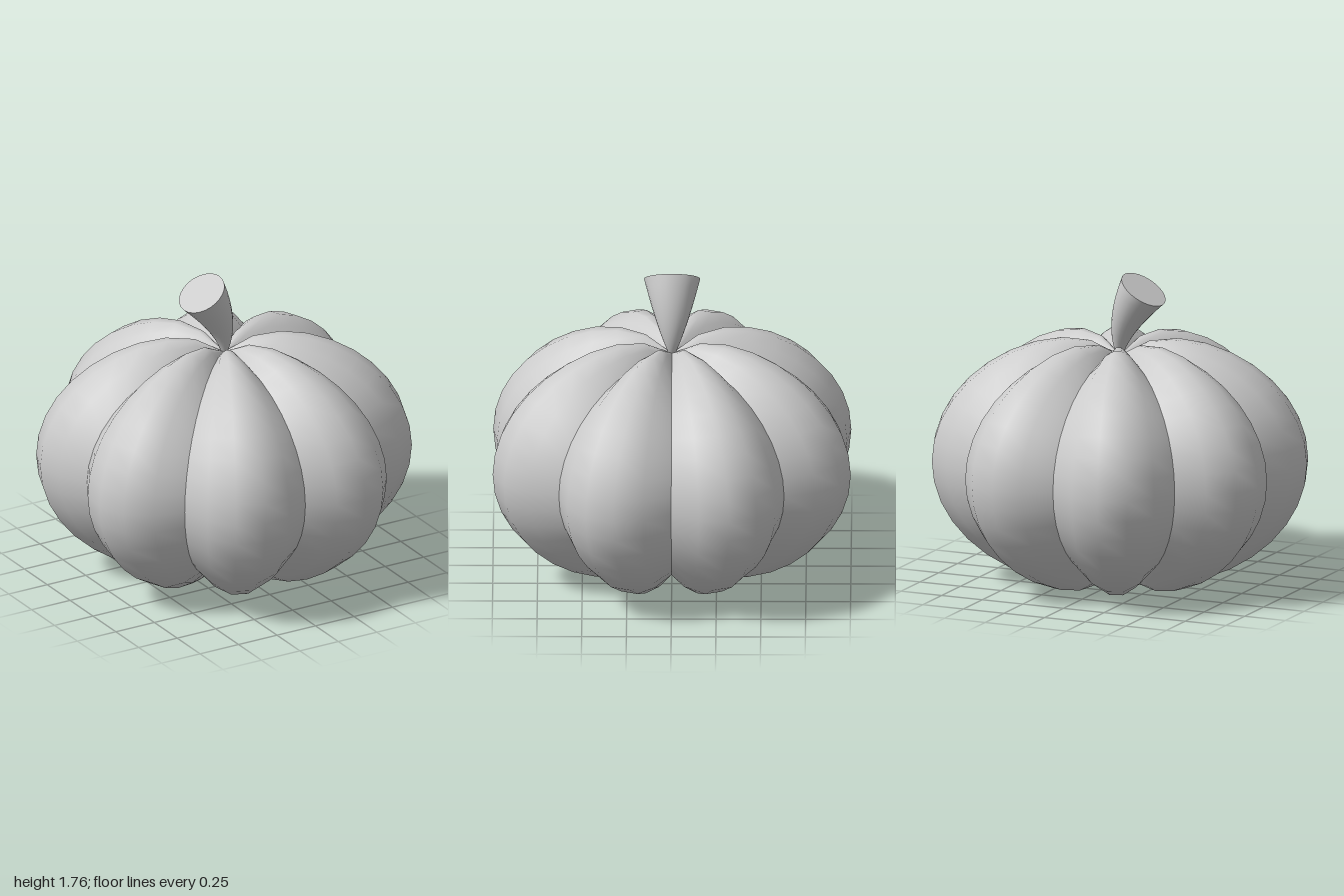
import * as THREE from 'three';
import { mergeVertices } from 'three/addons/utils/BufferGeometryUtils.js';

const LOBES = 8;
const material = new THREE.MeshStandardMaterial({ color: 0xcccccc });

// Move every vertex of a geometry by a rule, then refresh its normals
function reshape(geometry, rule) {
  const pos = geometry.attributes.position;
  const v = new THREE.Vector3();
  for (let i = 0; i < pos.count; i++) {
    v.fromBufferAttribute(pos, i);
    rule(v);
    pos.setXYZ(i, v.x, v.y, v.z);
  }
  geometry.computeVertexNormals();
  return geometry;
}

// One rib: a slice of a sphere that bulges between two grooves and dips at the poles
function lobeGeometry() {
  const width = (Math.PI * 2) / LOBES;
  return reshape(new THREE.SphereGeometry(1, 5, 20, 0, width), (v) => {
    const rho = Math.hypot(v.x, v.z);
    const angle = Math.atan2(v.z, -v.x);
    const radius = rho < 1e-6 ? 0.89 : 0.89 + 0.17 * Math.abs(Math.sin((angle * LOBES) / 2));
    const height = 0.73 * radius;
    const dip = (height - 0.6) * Math.exp(-5 * rho);
    v.set(v.x * radius, 0.7 + v.y * height - Math.sign(v.y) * dip, v.z * radius);
  });
}

// Stem: a flaring cone bent along a curve, with a flat cut end
function stemGeometry() {
  const path = new THREE.QuadraticBezierCurve(
    new THREE.Vector2(0, 1.28),
    new THREE.Vector2(0.02, 1.45),
    new THREE.Vector2(-0.145, 1.69)
  );
  let geometry = new THREE.CylinderGeometry(0.157, 0.01, 1, 24, 10);
  geometry.deleteAttribute('uv');
  geometry = mergeVertices(geometry);
  return reshape(geometry, (v) => {
    const t = THREE.MathUtils.clamp(v.y + 0.5, 0, 1);
    const p = path.getPoint(t);
    const d = path.getTangent(t);
    const side = v.x * 0.89;
    v.set(p.x + d.y * side, p.y - d.x * side, v.z);
  });
}

export function createModel() {
  const model = new THREE.Group();
  model.name = 'pumpkin';

  const body = new THREE.Group();
  body.name = 'body';
  const lobe = lobeGeometry();
  for (let i = 0; i < LOBES; i++) {
    const mesh = new THREE.Mesh(lobe, material);
    mesh.name = `lobe${i + 1}`;
    mesh.rotation.y = (i * Math.PI * 2) / LOBES;
    body.add(mesh);
  }

  const stem = new THREE.Mesh(stemGeometry(), material);
  stem.name = 'stem';

  model.add(body, stem);
  return model;
}
